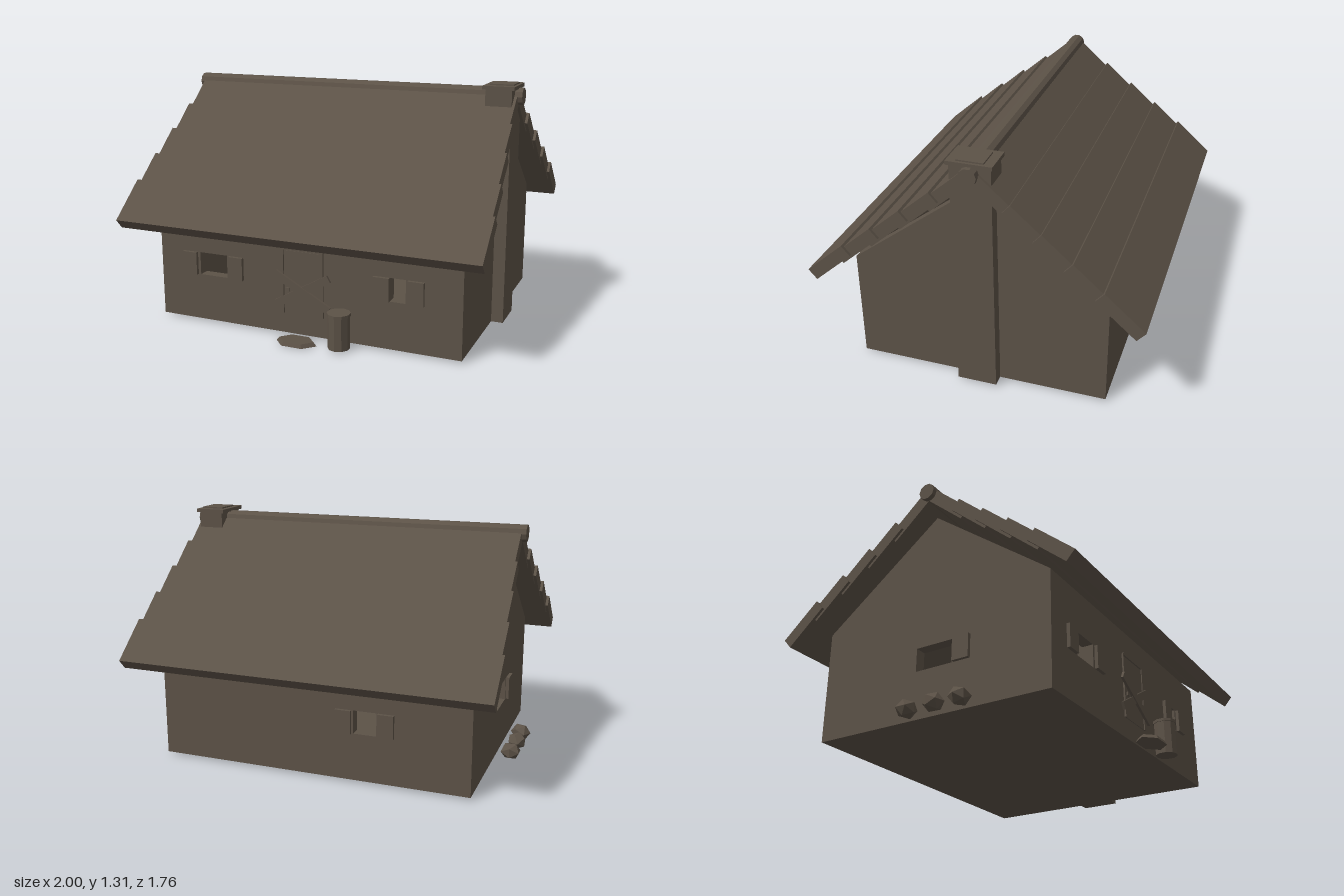
import * as THREE from 'three';

const wood = new THREE.MeshStandardMaterial({ color: 0x5c5247, flatShading: true });
wood.name = 'weathered brown';

const BASE = 0.02, HX = 0.86, HZ = 0.675, EAVE = 0.625, APEX = 1.14, WALL = 0.06;
const WIN_LOW = 0.275, WIN_HIGH = 0.4;

function add(parent, name, geometry, x = 0, y = 0, z = 0) {
  const mesh = new THREE.Mesh(geometry, wood);
  mesh.name = name;
  mesh.position.set(x, y, z);
  parent.add(mesh);
  return mesh;
}

// Box given by its minimum and maximum corners
function block(parent, name, a, b) {
  const [w, h, d] = a.map((v, i) => b[i] - v);
  return add(parent, name, new THREE.BoxGeometry(w, h, d), a[0] + w / 2, a[1] + h / 2, a[2] + d / 2);
}

// Wall plate from an outline, with window openings given as [min, max] across
function wallGeometry(outline, openings) {
  const shape = new THREE.Shape(outline.map(([u, v]) => new THREE.Vector2(u, v)));
  for (const [a, b] of openings) {
    shape.holes.push(new THREE.Path([
      new THREE.Vector2(a, WIN_LOW), new THREE.Vector2(a, WIN_HIGH),
      new THREE.Vector2(b, WIN_HIGH), new THREE.Vector2(b, WIN_LOW),
    ]));
  }
  return new THREE.ExtrudeGeometry(shape, { depth: WALL, bevelEnabled: false });
}

function buildWalls(house) {
  const rect = [[-HX, BASE], [HX, BASE], [HX, EAVE], [-HX, EAVE]];
  add(house, 'frontWall', wallGeometry(rect, [[-0.615, -0.45], [0.48, 0.565]]), 0, 0, HZ - WALL);
  add(house, 'backWall', wallGeometry(rect, [[-0.365, -0.24]]), 0, 0, -HZ);
  // Gable outlines run along z, mirrored by the quarter turn
  const gable = [[-HZ, BASE], [HZ, BASE], [HZ, EAVE], [0, APEX], [-HZ, EAVE]];
  add(house, 'leftGable', wallGeometry(gable, []), HX - WALL, 0, 0).rotation.y = Math.PI / 2;
  add(house, 'rightGable', wallGeometry(gable, [[-0.125, 0.09]]), -HX, 0, 0).rotation.y = Math.PI / 2;
  block(house, 'floor', [-HX, BASE, -HZ], [HX, BASE + 0.02, HZ]);
}

function buildShutters(house) {
  for (const x of [-0.715, -0.435, 0.395, 0.578]) {
    block(house, 'frontShutter', [x, WIN_LOW, HZ - 0.005], [x + 0.085, WIN_HIGH, HZ + 0.018]);
  }
  for (const x of [-0.46, -0.23]) {
    block(house, 'backShutter', [x, WIN_LOW, -HZ - 0.018], [x + 0.085, WIN_HIGH, -HZ + 0.005]);
  }
  block(house, 'sideShutter', [-HX - 0.018, WIN_LOW, 0.135], [-HX + 0.005, WIN_HIGH, 0.23]);
}

function buildRoof(house) {
  const angle = 0.72, length = 0.273, thick = 0.068;
  const s = Math.sin(angle), c = Math.cos(angle);
  for (const side of [1, -1]) {
    for (let i = 0; i < 5; i++) {
      // Start at the plank's upper outer edge, then go to its centre
      const z = 0.675 - 0.157 * i + c * length / 2 - s * thick / 2;
      const y = 0.77 + 0.12 * i - s * length / 2 - c * thick / 2;
      const geo = new THREE.BoxGeometry(2 - 0.03 * i, thick, length);
      add(house, 'roofPlank', geo, 0, y, side * z).rotation.x = side * angle;
    }
  }
  add(house, 'ridgeLog', new THREE.CylinderGeometry(0.046, 0.046, 1.93, 10), 0, 1.245, 0)
    .rotation.z = Math.PI / 2;
}

function buildChimney(house) {
  block(house, 'chimneyShaft', [0.785, BASE, -0.105], [0.925, 1.288, 0.105]);
  block(house, 'chimneyCap', [0.77, 1.285, -0.117], [0.94, 1.305, 0.117]);
  block(house, 'chimneyTop', [0.8, 1.3, -0.07], [0.925, 1.312, 0.07]);
}

function buildDoor(house) {
  block(house, 'door', [-0.105, 0.13, HZ - 0.01], [0.105, 0.475, HZ + 0.004]);
  for (const x of [-0.12, 0.106]) {
    block(house, 'doorPost', [x, 0.13, HZ - 0.01], [x + 0.012, 0.485, HZ + 0.009]);
  }
  block(house, 'doorLintel', [-0.115, 0.478, HZ - 0.01], [0.115, 0.492, HZ + 0.009]);
  block(house, 'doorHandle', [-0.095, 0.255, HZ], [-0.075, 0.275, HZ + 0.014]);
  // Two boards nailed across the door
  for (const [tilt, z] of [[0.52, 0.01], [-0.5, 0.016]]) {
    add(house, 'crossBoard', new THREE.BoxGeometry(0.35, 0.042, 0.014), 0, 0.265, HZ + z).rotation.z = tilt;
  }
}

function buildYard(house) {
  add(house, 'barrel', new THREE.CylinderGeometry(0.058, 0.058, 0.18, 10), 0.233, 0.105, 0.744);
  add(house, 'barrelLid', new THREE.CylinderGeometry(0.062, 0.062, 0.015, 10), 0.233, 0.197, 0.744);

  const step = add(house, 'steppingStone', new THREE.CylinderGeometry(0.85, 1, 1, 6), 0, 0.018, 0.76);
  step.rotation.y = Math.PI / 2;
  step.scale.set(0.07, 0.02, 0.115);

  // Row of rocks beside the right gable
  [[-0.94, -0.07], [-0.945, 0.09], [-0.94, 0.235]].forEach(([x, z], i) => {
    const rock = add(house, 'rock', new THREE.IcosahedronGeometry(0.054, 0), x, 0.048, z);
    rock.scale.set(1.08, 0.9, 1);
    rock.rotation.y = i * 1.3;
  });
}

export function createModel() {
  const house = new THREE.Group();
  house.name = 'cottage';
  buildWalls(house);
  buildShutters(house);
  buildRoof(house);
  buildChimney(house);
  buildDoor(house);
  buildYard(house);
  return house;
}
